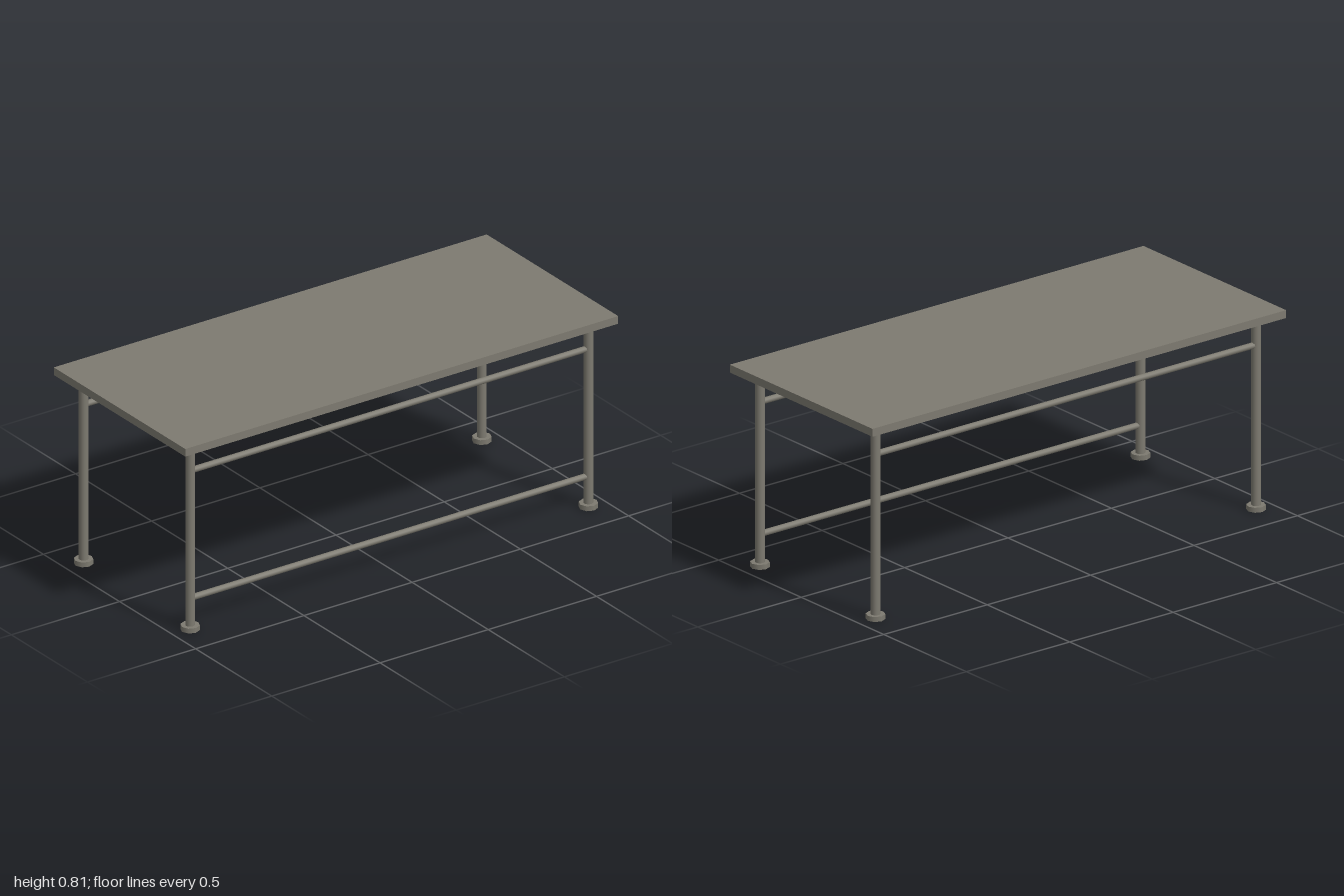
import * as THREE from 'three';

export function createModel() {
  const model = new THREE.Group();
  model.name = 'table';
  const metal = new THREE.MeshStandardMaterial({ color: 0x7d7a70 });
  metal.name = 'warm grey metal';

  const legX = 0.92, legZ = 0.35;
  const footHeight = 0.02, topBottom = 0.78, topThickness = 0.032;

  function add(name, geometry, x, y, z) {
    const mesh = new THREE.Mesh(geometry, metal);
    mesh.name = name;
    mesh.position.set(x, y, z);
    model.add(mesh);
    return mesh;
  }

  // Flat slab top
  add('tableTop', new THREE.BoxGeometry(2, topThickness, 0.864), 0, topBottom + topThickness / 2, 0);

  // Four round legs on wider disc feet
  const legHeight = topBottom - footHeight;
  const legGeometry = new THREE.CylinderGeometry(0.0187, 0.0187, legHeight, 16);
  const footGeometry = new THREE.CylinderGeometry(0.0375, 0.0375, footHeight, 8);
  for (const [side, x] of [['Left', legX], ['Right', -legX]]) {
    for (const [end, z] of [['front', legZ], ['back', -legZ]]) {
      add(`${end}${side}Leg`, legGeometry, x, footHeight + legHeight / 2, z);
      add(`${end}${side}Foot`, footGeometry, x, footHeight / 2, z);
    }
  }

  // Long rails: an upper pair, and one lower rail at the front
  const railGeometry = new THREE.CylinderGeometry(0.0125, 0.0125, legX * 2, 12).rotateZ(Math.PI / 2);
  add('frontUpperRail', railGeometry, 0, 0.667, legZ);
  add('backUpperRail', railGeometry, 0, 0.667, -legZ);
  add('frontLowerRail', railGeometry, 0, 0.132, legZ);

  return model;
}
